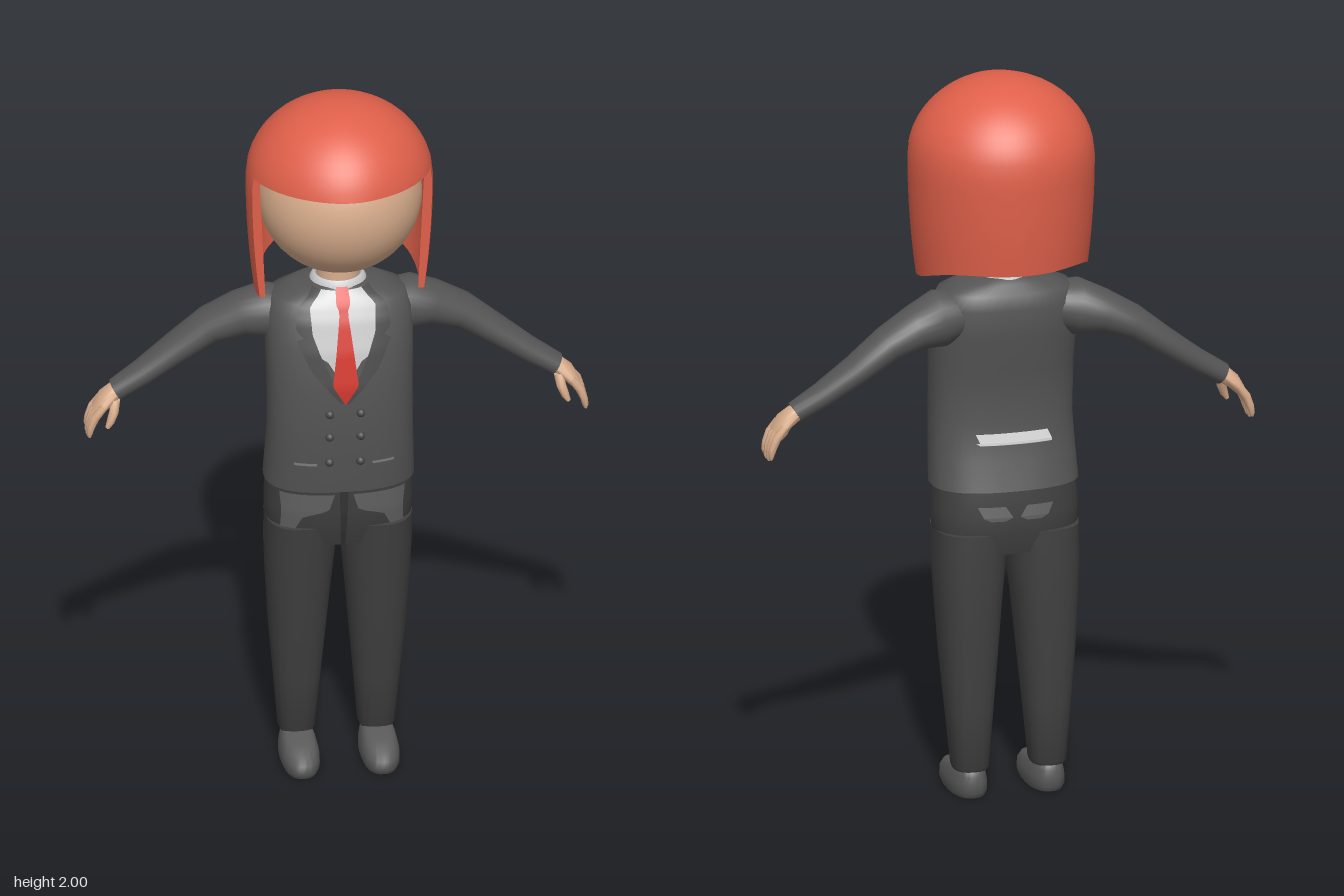
import * as THREE from 'three';
import { toCreasedNormals } from 'three/addons/utils/BufferGeometryUtils.js';

const V = (x, y, z) => new THREE.Vector3(x, y, z);
const mat = (color, side = THREE.FrontSide) => new THREE.MeshStandardMaterial({ color, side });
const COL = { skin: 0xd9ad8c, hair: 0xe0604a, tie: 0xd63a30, shirt: 0xd8d8d8, jacket: 0x555555,
  lapel: 0x4c4c4c, trousers: 0x404040, shoe: 0x5a5a5a, trim: 0x808080 };
const N = 2.5; // roundness of body cross-sections

// Grid of points to triangles; rings wrap round when closed
function grid(rows, closed) {
  const n = rows[0].length, pos = [], idx = [];
  rows.forEach(r => r.forEach(p => pos.push(p.x, p.y, p.z)));
  for (let i = 0; i < rows.length - 1; i++)
    for (let j = 0; j < (closed ? n : n - 1); j++) {
      const k = (j + 1) % n, a = i * n + j, b = a + n, c = i * n + k, d = c + n;
      idx.push(a, b, c, b, d, c);
    }
  const g = new THREE.BufferGeometry();
  g.setAttribute('position', new THREE.Float32BufferAttribute(pos, 3));
  g.setIndex(idx);
  g.computeVertexNormals();
  return g;
}

// Closed skin over rings, with flat ends
function skin(rings) {
  const collapse = r => {
    const c = r.reduce((s, p) => s.add(p), V(0, 0, 0)).divideScalar(r.length);
    return r.map(() => c);
  };
  return toCreasedNormals(grid([collapse(rings[0]), ...rings, collapse(rings[rings.length - 1])], true), 0.9);
}

const sp = (v, n) => Math.sign(v) * Math.abs(v) ** (2 / n);

// Upright form from sections [y, centreX, halfWidth, frontZ, backZ]
function upright(sections, s = 1, seg = 48) {
  return skin(sections.map(([y, cx, rx, zf, zb]) => Array.from({ length: seg }, (_, j) => {
    const a = j / seg * Math.PI * 2;
    return V(s * cx + rx * sp(Math.cos(a), N), y, (zf + zb) / 2 + (zf - zb) / 2 * sp(Math.sin(a), N));
  })));
}

// Limb along a path of [x, y, z, radius, radiusZ]; s = -1 mirrors it
function limb(path, s, seg = 20) {
  const c = path.map(p => V(p[0], p[1], p[2])), axis = V(0, 0, 1);
  return skin(path.map((p, i) => {
    const d = c[Math.min(i + 1, c.length - 1)].clone().sub(c[Math.max(i - 1, 0)]);
    const u = d.cross(axis).normalize();
    return Array.from({ length: seg }, (_, j) => {
      const a = s * j / seg * Math.PI * 2;
      const q = c[i].clone().addScaledVector(u, p[3] * Math.cos(a)).addScaledVector(axis, p[4] * Math.sin(a));
      q.x *= s;
      return q;
    });
  }));
}

// Interpolated row of a table keyed by its first column
function rowAt(t, y) {
  let i = 0;
  while (i < t.length - 2 && y > t[i + 1][0]) i++;
  const k = THREE.MathUtils.clamp((y - t[i][0]) / (t[i + 1][0] - t[i][0]), 0, 1);
  return t[i].map((v, j) => v + (t[i + 1][j] - v) * k);
}

// Depth of an upright form at (x, y); side 1 is front, -1 is back
function depth(sections, x, y, side) {
  const [, cx, rx, zf, zb] = rowAt(sections, y);
  const k = Math.min(1, Math.abs((x - cx) / rx));
  return (zf + zb) / 2 + side * (zf - zb) / 2 * (1 - k ** N) ** (1 / N);
}

// Cloth patch lying on a form, rows [y, x0, x1, lift]
function patch(sections, rows, s = 1, side = 1) {
  const out = [], y0 = rows[0][0], y1 = rows[rows.length - 1][0], m = 24;
  for (let i = 0; i <= m; i++) {
    const y = y0 + (y1 - y0) * i / m, [, a, b, lift] = rowAt(rows, y);
    out.push(Array.from({ length: 13 }, (_, j) => {
      const x = s * (a + (b - a) * j / 12);
      return V(x, y, depth(sections, x, y, side) + side * lift);
    }));
  }
  return grid(out, false);
}

// Bobbed hair shell: dome, short fringe and long sides and back
function hairGeometry() {
  const cut = 1.33, angles = [];
  for (let i = 0; i <= 24; i++) angles.push(-cut + 2 * cut * i / 24);
  for (let i = 0; i <= 32; i++) angles.push(cut + 0.001 + (2 * Math.PI - 2 * cut - 0.002) * i / 32);
  const point = (a, y, k) => {
    const h = y - 1.78, f = h > 0 ? Math.sqrt(Math.max(0, 1 - (h / 0.22) ** 2)) : 1 - 0.8 * h * h;
    const c = Math.cos(a), taper = c > 0 ? 1 - 0.1 * c * c : 1;
    return V(0.252 * Math.sin(a) * taper * f * k, h > 0.05 ? 1.78 + h * (k + 1) / 2 : y, 0.26 * c * f * k);
  };
  const hem = (a, i) => i <= 24 ? 1.812 + 0.015 * Math.cos(a)
    : 1.45 + 0.06 * THREE.MathUtils.smoothstep(-Math.cos(a), -0.2, 0.9);
  const rows = k => {
    const r = [];
    for (let i = 0; i <= 12; i++) {
      const y = 1.78 + 0.22 * Math.cos(1.36 * i / 12);
      r.push(angles.map(a => point(a, y, k)));
    }
    for (let i = 1; i <= 8; i++)
      r.push(angles.map((a, j) => point(a, 1.826 + (hem(a, j) - 1.826) * i / 8, k)));
    return r;
  };
  return toCreasedNormals(grid([...rows(1), ...rows(0.93).reverse()], true), 0.8);
}

export function createModel() {
  const model = new THREE.Group();
  const add = (name, geo, color, double) => {
    const m = new THREE.Mesh(geo, mat(color, double ? THREE.DoubleSide : THREE.FrontSide));
    m.name = name;
    model.add(m);
    return m;
  };
  const torso = [[0.87, 0, 0.203, 0.107, -0.152], [0.95, 0, 0.2, 0.117, -0.13], [1.05, 0, 0.196, 0.126, -0.108],
    [1.2, 0, 0.197, 0.13, -0.125], [1.3, 0, 0.2, 0.115, -0.143], [1.38, 0, 0.198, 0.092, -0.148],
    [1.42, 0, 0.18, 0.072, -0.138], [1.445, 0, 0.12, 0.055, -0.12], [1.46, 0, 0.06, 0.04, -0.1]];
  const hips = [[0.69, 0, 0.18, 0.068, -0.14], [0.74, 0, 0.198, 0.085, -0.153],
    [0.8, 0, 0.2, 0.096, -0.156], [0.9, 0, 0.196, 0.1, -0.14]];

  // Head
  const head = add('head', new THREE.SphereGeometry(0.222, 40, 28), COL.skin);
  head.position.set(0, 1.735, 0.005);
  add('hair', hairGeometry(), COL.hair, true);
  const neck = add('neck', new THREE.CylinderGeometry(0.055, 0.06, 0.14, 24), COL.skin);
  neck.position.set(0, 1.5, -0.03);

  // Jacket, shirt and tie
  add('jacket', upright(torso), COL.jacket);
  const collar = add('shirtCollar', new THREE.LatheGeometry([[0.08, 1.43], [0.077, 1.455], [0.066, 1.475],
    [0.058, 1.472], [0.058, 1.44]].map(p => new THREE.Vector2(...p)), 32), COL.shirt, true);
  collar.position.z = -0.03;
  add('shirtFront', patch(torso, [[1.17, 0, 0, 0.005], [1.25, -0.05, 0.05, 0.005], [1.35, -0.085, 0.085, 0.005],
    [1.43, -0.09, 0.09, 0.006], [1.455, -0.055, 0.055, 0.006]]), COL.shirt, true);
  add('tie', patch(torso, [[1.155, -0.002, 0.002, 0.012], [1.21, -0.035, 0.035, 0.015], [1.3, -0.024, 0.024, 0.015],
    [1.41, -0.011, 0.011, 0.015], [1.43, -0.02, 0.02, 0.018], [1.465, -0.016, 0.016, 0.012]]), COL.tie, true);
  add('backStrap', patch(torso, [[1, -0.1, 0.1, 0], [1.006, -0.1, 0.1, 0.042], [1.014, -0.1, 0.1, 0.042],
    [1.024, -0.1, 0.1, 0]], 1, -1), COL.shirt, true);

  // Trousers
  add('trouserHips', upright(hips), COL.trousers);
  add('fly', patch(hips, [[0.69, -0.006, 0.006, 0.006], [0.87, -0.012, 0.012, 0.006]]), 0x333333, true);

  for (const s of [1, -1]) {
    const side = s > 0 ? 'left' : 'right';
    // Jacket trim
    add(side + 'Vest', patch(torso, [[1.2, 0.015, 0.02, 0.008], [1.25, 0.03, 0.06, 0.008],
      [1.275, 0.045, 0.085, 0.008], [1.3, 0.08, 0.085, 0.008]], s), COL.jacket, true);
    add(side + 'Lapel', patch(torso, [[1.155, 0, 0.012, 0.01], [1.25, 0.046, 0.09, 0.011], [1.33, 0.08, 0.128, 0.011],
      [1.34, 0.084, 0.105, 0.011], [1.36, 0.086, 0.13, 0.011], [1.42, 0.09, 0.12, 0.01], [1.455, 0.055, 0.075, 0.01]], s), COL.lapel, true);
    for (const y of [0.97, 1.05, 1.12]) {
      const b = add(side + 'Button', new THREE.SphereGeometry(0.012, 12, 8), 0x484848);
      b.position.set(s * 0.042, y, depth(torso, 0.042, y, 1) + 0.002);
    }
    add(side + 'JacketPocket', patch(torso, [[0.958, 0.075, 0.135, 0.004], [0.966, 0.075, 0.135, 0.004]], s), COL.trim, true);

    // Trouser pockets and legs
    add(side + 'FrontPocket', patch(hips, [[0.64, 0.162, 0.166, 0.006], [0.72, 0.142, 0.168, 0.005],
      [0.79, 0.11, 0.165, 0.004], [0.81, 0.04, 0.165, 0.004], [0.86, 0.025, 0.17, 0.005]], s), 0x626262, true);
    add(side + 'BackPocket', patch(hips, [[0.79, 0.03, 0.07, 0.004], [0.8, 0.01, 0.09, 0.004],
      [0.83, 0.03, 0.105, 0.004]], s, -1), 0x626262, true);
    add(side + 'TrouserLeg', upright([[0.075, 0.108, 0.046, -0.02, -0.125], [0.085, 0.108, 0.05, -0.015, -0.13],
      [0.25, 0.108, 0.064, 0.012, -0.14], [0.4, 0.108, 0.077, 0.036, -0.148], [0.55, 0.106, 0.088, 0.057, -0.153],
      [0.66, 0.103, 0.096, 0.073, -0.155], [0.75, 0.1, 0.098, 0.086, -0.154]], s), COL.trousers);
    add(side + 'Shoe', upright([[0, 0.108, 0.047, 0.1, -0.12], [0.015, 0.108, 0.053, 0.11, -0.13],
      [0.04, 0.108, 0.052, 0.108, -0.13], [0.06, 0.108, 0.047, 0.085, -0.128], [0.073, 0.108, 0.042, 0.04, -0.122],
      [0.085, 0.108, 0.034, -0.02, -0.11]], s), COL.shoe);

    // Sleeve, hand, fingers and thumb
    add(side + 'Sleeve', limb([[0.12, 1.36, -0.05, 0.06, 0.07], [0.19, 1.35, -0.06, 0.078, 0.082],
      [0.26, 1.335, -0.078, 0.06, 0.075], [0.34, 1.3, -0.09, 0.048, 0.065], [0.43, 1.235, -0.092, 0.04, 0.057],
      [0.52, 1.172, -0.084, 0.034, 0.046], [0.596, 1.125, -0.077, 0.03, 0.037]], s, 28), COL.jacket);
    add(side + 'Hand', limb([[0.575, 1.138, -0.077, 0.02, 0.028], [0.6, 1.122, -0.075, 0.023, 0.033],
      [0.625, 1.102, -0.072, 0.021, 0.045], [0.648, 1.072, -0.07, 0.014, 0.045]], s), COL.skin);
    for (let f = 0; f < 4; f++) {
      const z = -0.105 + f * 0.023, drop = f === 1 || f === 2 ? 0 : 0.008;
      add(side + 'Finger', limb([[0.632, 1.095, z, 0.011, 0.012], [0.655, 1.065, z, 0.012, 0.0125],
        [0.667, 1.035, z, 0.01, 0.0115], [0.671, 1.008 + drop, z, 0.008, 0.009],
        [0.671, 0.998 + drop, z, 0.004, 0.005]], s, 12), COL.skin);
    }
    add(side + 'Thumb', limb([[0.6, 1.11, -0.05, 0.014, 0.014], [0.605, 1.08, -0.036, 0.013, 0.014],
      [0.615, 1.053, -0.03, 0.011, 0.012], [0.624, 1.036, -0.028, 0.006, 0.007]], s, 12), COL.skin);
  }
  return model;
}
